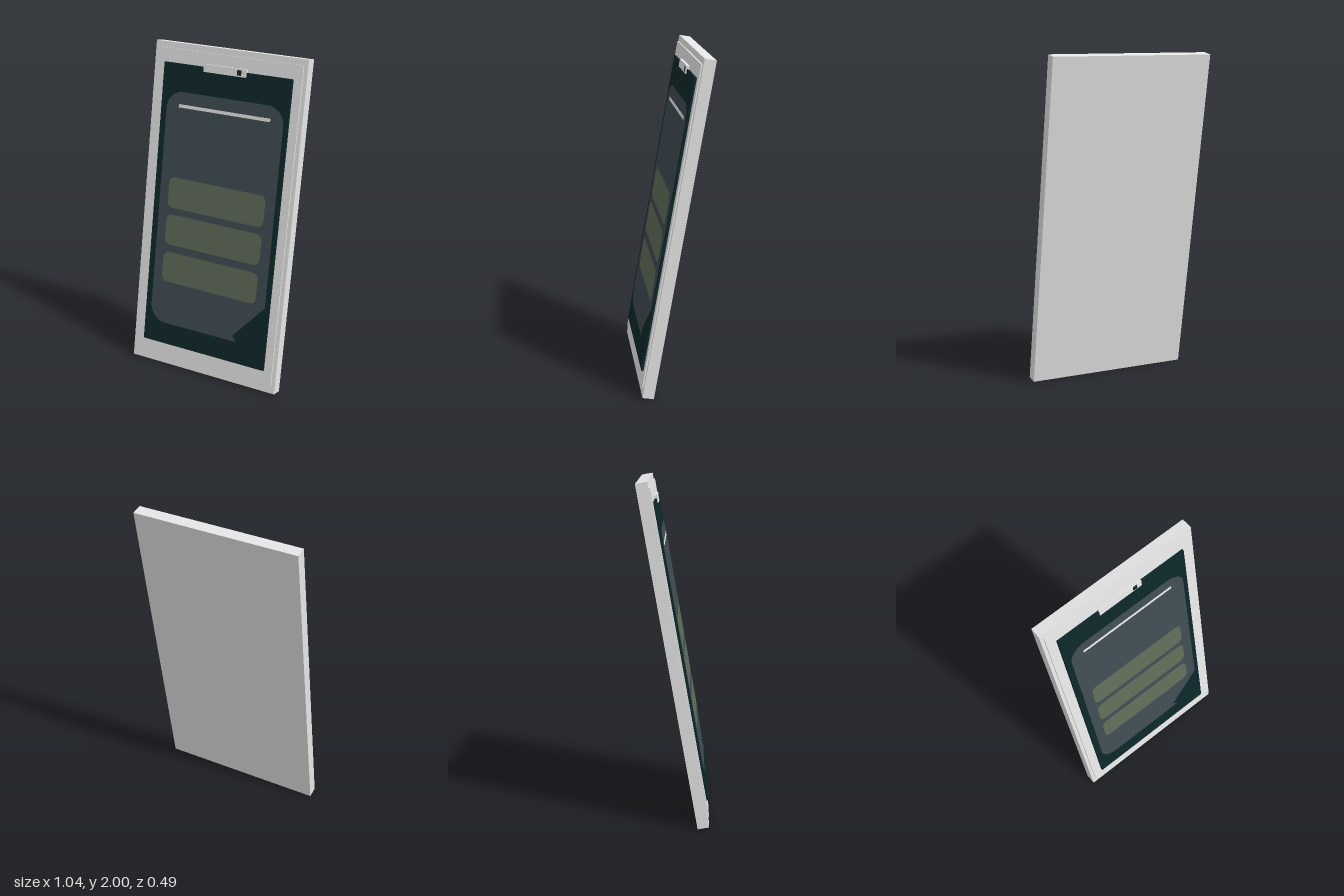
import * as THREE from 'three';

const mat = (name, color) => {
  const m = new THREE.MeshStandardMaterial({ color });
  m.name = name;
  return m;
};

// Rectangle with rounded corners, centred on (cx, cy); cut bevels the lower right corner
function roundedRect(cx, cy, w, h, r, cutX = 0, cutY = 0) {
  const s = new THREE.Shape();
  const l = cx - w / 2, t = cy + h / 2, b = cy - h / 2, k = cx + w / 2;
  s.moveTo(l + r, b);
  if (cutX) {
    s.lineTo(k - cutX + 0.03, b);
    s.lineTo(k - cutX, b + 0.035);
    s.lineTo(k, b + cutY);
  } else {
    s.lineTo(k - r, b);
    s.absarc(k - r, b + r, r, -Math.PI / 2, 0);
  }
  s.absarc(k - r, t - r, r, 0, Math.PI / 2);
  s.absarc(l + r, t - r, r, Math.PI / 2, Math.PI);
  s.absarc(l + r, b + r, r, Math.PI, Math.PI * 1.5);
  return s;
}

export function createModel() {
  const white = mat('white casing', 0xe6e6e6);
  const dark = mat('dark screen', 0x0d272a);
  const slate = mat('slate panel', 0x3f4b52);
  const olive = mat('olive row', 0x5f6b58);
  const black = mat('lens black', 0x1c2629);

  const model = new THREE.Group();
  model.name = 'slabPhone';

  // Whole device leans back and turns slightly
  const device = new THREE.Group();
  device.name = 'device';
  device.rotation.set(THREE.MathUtils.degToRad(-10), THREE.MathUtils.degToRad(-4), 0, 'YXZ');
  device.position.y = 1;
  model.add(device);

  // Box given by centre, size, and back and front depth
  const slab = (name, material, x, y, w, h, back, front) => {
    const m = new THREE.Mesh(new THREE.BoxGeometry(w, h, front - back), material);
    m.name = name;
    m.position.set(x, y, (back + front) / 2);
    device.add(m);
    return m;
  };
  // Flat painted face at depth z
  const face = (name, material, shape, z) => {
    const m = new THREE.Mesh(new THREE.ShapeGeometry(shape, 8), material);
    m.name = name;
    m.position.z = z;
    device.add(m);
    return m;
  };

  // Casing, raised bezel and screen
  slab('casing', white, 0, 0, 1.018, 2.018, -0.034, 0.034);
  slab('bezel', white, -0.002, 0.01, 0.972, 1.925, 0.03, 0.043);
  slab('screen', dark, 0.001, 0.008, 0.86, 1.761, 0.04, 0.056);

  // Display card with its cut corner
  face('displayCard', slate, roundedRect(0.006, -0.008, 0.792, 1.46, 0.11, 0.2, 0.255), 0.0572);

  // Three rows on the card
  [0.0985, -0.135, -0.374].forEach((y, i) => {
    const row = face('row' + (i + 1), olive, roundedRect(0, 0, 0.665, 0.192, 0.04), 0.0584);
    row.position.x = 0.004;
    row.position.y = y;
    row.rotation.z = -0.01;
  });

  // Thin heading line
  slab('headingLine', white, 0.006, 0.637, 0.62, 0.02, 0.0565, 0.0584);

  // Notch and its lens
  slab('notch', white, -0.0095, 0.8835, 0.286, 0.047, 0.042, 0.061);
  slab('lens', black, 0.088, 0.883, 0.027, 0.032, 0.06, 0.0625);

  return model;
}
